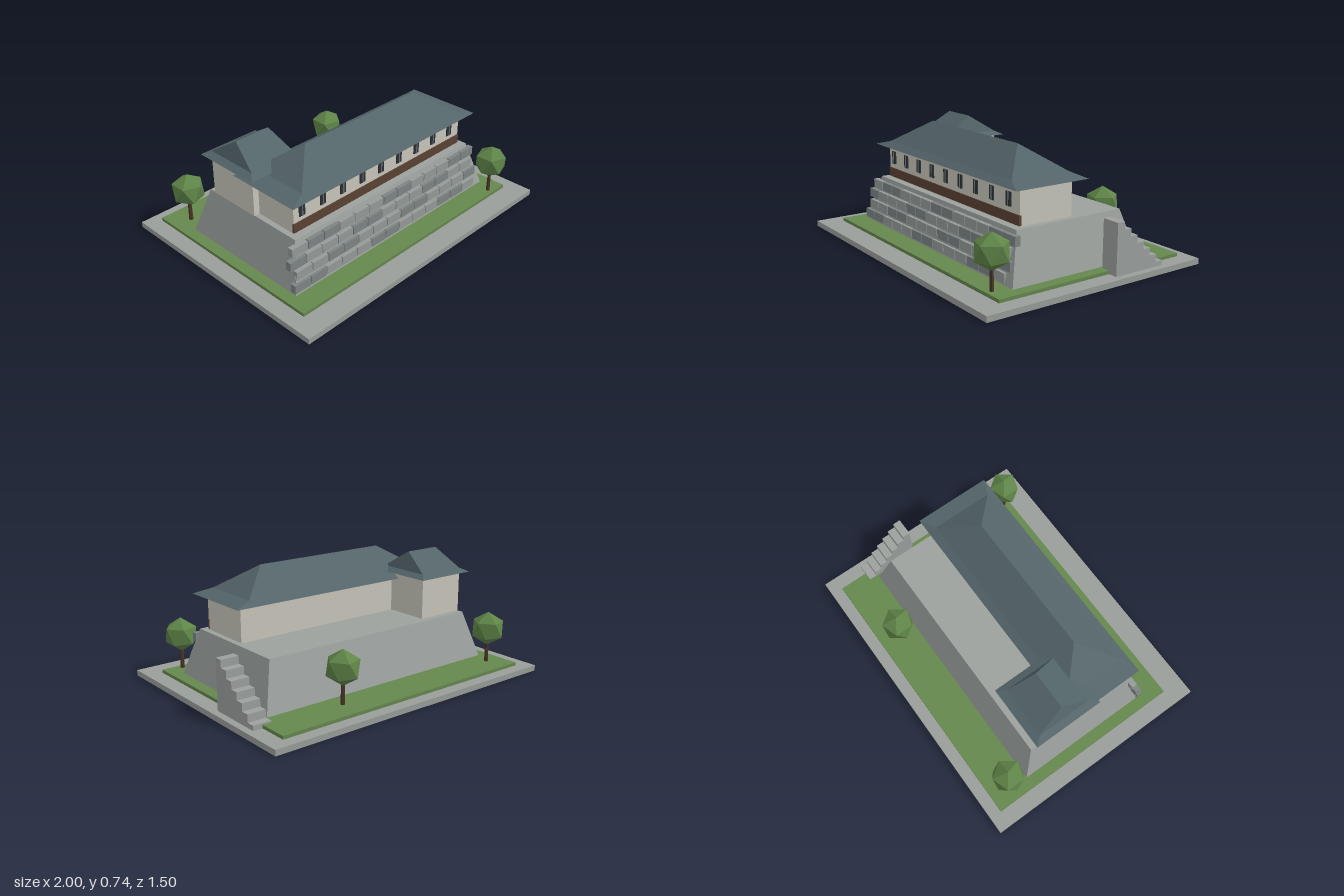
import * as THREE from 'three';

const mat = (color) => new THREE.MeshStandardMaterial({ color, flatShading: true });
const M = {
  paving: mat(0x999e9a), grass: mat(0x65874d), stone: mat(0x9ca19e),
  blockA: mat(0x959b99), blockB: mat(0x7d8584), wall: mat(0xc8c6bb),
  wood: mat(0x5b4233), roof: mat(0x54656a), glass: mat(0x2c3134),
  mullion: mat(0x73787a), trunk: mat(0x4a3527), leaf: mat(0x5f8548),
};

function add(parent, name, geometry, material, x = 0, y = 0, z = 0) {
  const mesh = new THREE.Mesh(geometry, material);
  mesh.name = name;
  mesh.position.set(x, y, z);
  parent.add(mesh);
  return mesh;
}

// Box given by its limits on each axis
function box(parent, name, material, [x0, x1], [y0, y1], [z0, z1]) {
  return add(parent, name, new THREE.BoxGeometry(x1 - x0, y1 - y0, z1 - z0), material,
    (x0 + x1) / 2, (y0 + y1) / 2, (z0 + z1) / 2);
}

// Closed solid through rectangular rings [halfX, halfZ, y]; halfZ = 0 makes a ridge
function rectLoft(rings) {
  const corners = rings.map(([hx, hz, y]) =>
    [[-hx, y, hz], [hx, y, hz], [hx, y, -hz], [-hx, y, -hz]]);
  const pos = [];
  const tri = (...points) => points.forEach((p) => pos.push(...p));
  for (let r = 0; r < rings.length - 1; r++) {
    const lo = corners[r], hi = corners[r + 1];
    for (let i = 0; i < 4; i++) {
      const j = (i + 1) % 4;
      tri(lo[i], lo[j], hi[j]);
      if (rings[r + 1][1] > 0 || i % 2 === 0) tri(lo[i], hi[j], hi[i]);
    }
  }
  const b = corners[0], t = corners[corners.length - 1];
  tri(b[0], b[2], b[1]);
  tri(b[0], b[3], b[2]);
  if (rings[rings.length - 1][1] > 0) {
    tri(t[0], t[1], t[2]);
    tri(t[0], t[2], t[3]);
  }
  const g = new THREE.BufferGeometry();
  g.setAttribute('position', new THREE.Float32BufferAttribute(pos, 3));
  g.computeVertexNormals();
  return g;
}

function makeTree(x, z) {
  const tree = new THREE.Group();
  tree.name = 'tree';
  tree.position.set(x, 0.055, z);
  add(tree, 'trunk', new THREE.CylinderGeometry(0.011, 0.013, 0.15, 6), M.trunk, 0, 0.075, 0);
  // Turned so that one vertex points straight up
  const crown = new THREE.IcosahedronGeometry(0.107, 0).rotateZ(-0.5536);
  add(tree, 'crown', crown, M.leaf, 0, 0.216, 0);
  return tree;
}

export function createModel() {
  const model = new THREE.Group();
  model.name = 'hilltopHall';

  // Ground
  box(model, 'groundSlab', M.paving, [-1, 1], [0, 0.035], [-0.75, 0.75]);
  box(model, 'lawn', M.grass, [-0.9, 0.9], [0.035, 0.055], [-0.675, 0.605]);

  // Battered stone platform
  add(model, 'platform', rectLoft([[0.83, 0.45, 0.05], [0.748, 0.365, 0.343]]), M.stone, 0, 0, 0.02);

  // Four staggered courses of facing blocks on the front slope
  const facing = new THREE.Group();
  facing.name = 'stoneFacing';
  model.add(facing);
  const pitch = 0.122;
  for (let row = 0; row < 4; row++) {
    const start = row % 2 ? -0.8 : -0.83;
    const y = 0.064 + row * 0.0665, front = 0.467 - row * 0.0165;
    for (let i = 0; i < 13; i++) {
      const x = start + i * pitch;
      box(facing, 'facingBlock', (i + row * 3) % 5 < 2 ? M.blockB : M.blockA,
        [x, x + pitch - 0.006], [y, y + 0.056], [front - 0.035, front]);
    }
  }

  // Side staircase, climbing towards the front
  const stairs = new THREE.Group();
  stairs.name = 'stairs';
  model.add(stairs);
  for (let i = 0; i < 7; i++) {
    const z = -0.49 + i * 0.05;
    box(stairs, 'step', M.stone, [0.843, 0.957], [0.035, 0.064 + i * 0.0465], [z, z + 0.05]);
  }

  // Main hall
  const hall = new THREE.Group();
  hall.name = 'mainHall';
  model.add(hall);
  box(hall, 'hallWalls', M.wall, [-0.713, 0.713], [0.343, 0.562], [-0.016, 0.338]);
  box(hall, 'timberBand', M.wood, [-0.715, 0.715], [0.349, 0.407], [0.33, 0.344]);
  for (let i = 0; i < 9; i++) {
    const x = -0.652 + i * 0.1583;
    box(hall, 'window', M.glass, [x - 0.021, x + 0.021], [0.438, 0.519], [0.33, 0.345]);
    box(hall, 'mullion', M.mullion, [x - 0.003, x + 0.003], [0.438, 0.519], [0.335, 0.348]);
  }
  const hallRoof = rectLoft([[0.775, 0.245, 0.56], [0.664, 0.195, 0.589], [0.452, 0, 0.733]]);
  add(hall, 'hallRoof', hallRoof, M.roof, 0, 0, 0.162);

  // Corner tower
  const tower = new THREE.Group();
  tower.name = 'cornerTower';
  tower.position.set(-0.592, 0, -0.123);
  model.add(tower);
  box(tower, 'towerWalls', M.wall, [-0.16, 0.16], [0.343, 0.602], [-0.177, 0.177]);
  const towerRoof = rectLoft([[0.203, 0.222, 0.6], [0.16, 0.175, 0.624], [0.118, 0, 0.736]]);
  add(tower, 'towerRoof', towerRoof, M.roof);

  // Trees
  for (const [x, z] of [[0.78, 0.567], [-0.78, -0.535], [0.395, -0.535]]) model.add(makeTree(x, z));

  return model;
}
